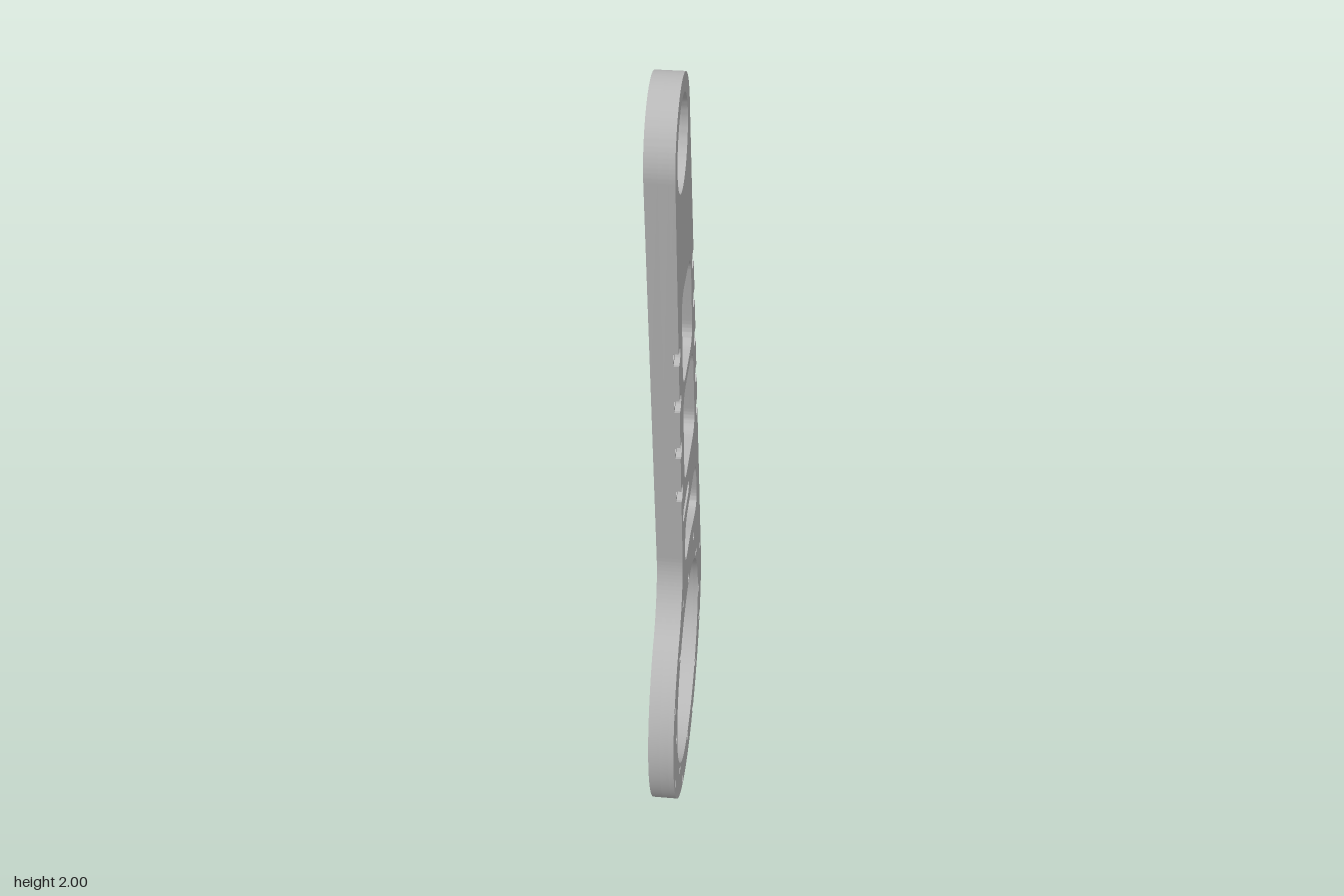
import * as THREE from 'three';
import { toCreasedNormals } from 'three/addons/utils/BufferGeometryUtils.js';

// Profile plane: s runs towards -z, v runs up; extrusion runs along +x.
const RING = { s: 0, v: 0.345, r: 0.345 };
const TIP = { s: -0.162, v: 1.865, r: 0.135 };
const RAD = Math.PI / 180;
const RIGHT = 14 * RAD;      // outward normal of the long straight edge
const LEFT = 188.3 * RAD;    // outward normal of the opposite edge
const INSET = 0.0125, BORE = 0.021;

// Centre of an edge screw hole at height v
function edgeCentre(n, v) {
  const d = TIP.r - INSET;
  const s0 = TIP.s + d * Math.cos(n), v0 = TIP.v + d * Math.sin(n);
  return [s0 - Math.tan(n) * (v - v0), v];
}
const rightScrews = [1.005, 1.12, 1.24, 1.362, 1.479].map(v => edgeCentre(RIGHT, v));
const leftScrews = [1.413, 1.283, 1.146, 1.011].map(v => edgeCentre(LEFT, v));

// Outer contour, optionally with counterbores breaking through the edges
function outline(notched) {
  const shape = new THREE.Shape();
  const beta = Math.acos(INSET / BORE);
  const notch = n => ([s, v]) =>
    shape.absarc(s, v, BORE, n - beta, n + beta - 2 * Math.PI, true);
  shape.moveTo(RING.r * Math.cos(RIGHT), RING.v + RING.r * Math.sin(RIGHT));
  if (notched) rightScrews.forEach(notch(RIGHT));
  shape.absarc(TIP.s, TIP.v, TIP.r, RIGHT, LEFT, false);
  if (notched) leftScrews.forEach(notch(LEFT));
  shape.absarc(-0.35, 0.772, 0.209, 8.3 * RAD, -50.7 * RAD, true);
  shape.absarc(RING.s, RING.v, RING.r, 129.3 * RAD, 2 * Math.PI + RIGHT, false);
  return shape;
}

function circle(s, v, r) {
  return new THREE.Path().absarc(s, v, r, 0, 2 * Math.PI, false);
}

function slot(s0, s1, v, r) {
  const p = new THREE.Path();
  p.absarc(s1 - r, v, r, -Math.PI / 2, Math.PI / 2, false);
  p.absarc(s0 + r, v, r, Math.PI / 2, 1.5 * Math.PI, false);
  p.closePath();
  return p;
}

// Polygon with softened corners
function roundedPolygon(points, radius) {
  const p = new THREE.Path();
  const pts = points.map(q => new THREE.Vector2(...q));
  pts.forEach((c, i) => {
    const prev = pts[(i + pts.length - 1) % pts.length];
    const next = pts[(i + 1) % pts.length];
    const toward = q => c.clone().lerp(q, Math.min(0.48, radius / c.distanceTo(q)));
    const a = toward(prev), b = toward(next);
    if (i === 0) p.moveTo(a.x, a.y); else p.lineTo(a.x, a.y);
    p.quadraticCurveTo(c.x, c.y, b.x, b.y);
  });
  p.closePath();
  return p;
}

function boltCircle(radius, offset) {
  return Array.from({ length: 8 }, (_, i) => {
    const a = (offset + i * 45) * RAD;
    return circle(radius * Math.cos(a), RING.v + radius * Math.sin(a), 0.011);
  });
}

// Openings that pass through the whole plate
function throughHoles() {
  return [
    roundedPolygon([[-0.178, 1.525], [0.008, 1.525], [0.057, 1.277], [-0.143, 1.277]], 0.055),
    roundedPolygon([[-0.14, 1.249], [0.07, 1.249], [0.133, 0.987], [-0.104, 0.987]], 0.055),
    roundedPolygon([[-0.085, 0.855], [-0.085, 0.725], [0.04, 0.728], [0.13, 0.7],
      [0.205, 0.698], [0.166, 0.855]], 0.055),
    ...boltCircle(0.328, 22.5),
  ];
}
const screwHoles = () => [...rightScrews, ...leftScrews].map(([s, v]) => circle(s, v, 0.01));

export function createModel() {
  const group = new THREE.Group();
  group.name = 'armPlate';
  const metal = new THREE.MeshStandardMaterial({ color: 0xbababa });
  metal.name = 'grey metal';

  function layer(name, x0, x1, notched, holes) {
    const shape = outline(notched);
    shape.holes = [...throughHoles(), ...holes];
    const geo = new THREE.ExtrudeGeometry(shape, {
      depth: x1 - x0, bevelEnabled: false, curveSegments: 40,
    });
    geo.translate(0, 0, x0);
    geo.rotateY(Math.PI / 2);
    const mesh = new THREE.Mesh(toCreasedNormals(geo, 30 * RAD), metal);
    mesh.name = name;
    group.add(mesh);
  }

  const ringBore = () => [circle(RING.s, RING.v, 0.258), ...boltCircle(0.275, 0)];
  const narrowSlot = () => slot(-0.134, -0.003, 0.915, 0.018);

  // Inner side: wide bearing seat around the ring and a long slot recess
  layer('recessedSide', -0.03, -0.003, false, [
    circle(RING.s, RING.v, 0.3), circle(TIP.s, TIP.v, 0.063),
    slot(-0.14, 0.14, 0.915, 0.026), ...screwHoles(),
  ]);
  // Core: ring lip with bolt holes, counterbore at the tip
  layer('core', -0.003, 0.018, false, [
    ...ringBore(), circle(TIP.s, TIP.v, 0.097), narrowSlot(), ...screwHoles(),
  ]);
  // Outer side: screw counterbores open to the edges
  layer('notchedSide', 0.018, 0.03, true, [
    ...ringBore(), circle(TIP.s, TIP.v, 0.097), narrowSlot(),
  ]);
  return group;
}
